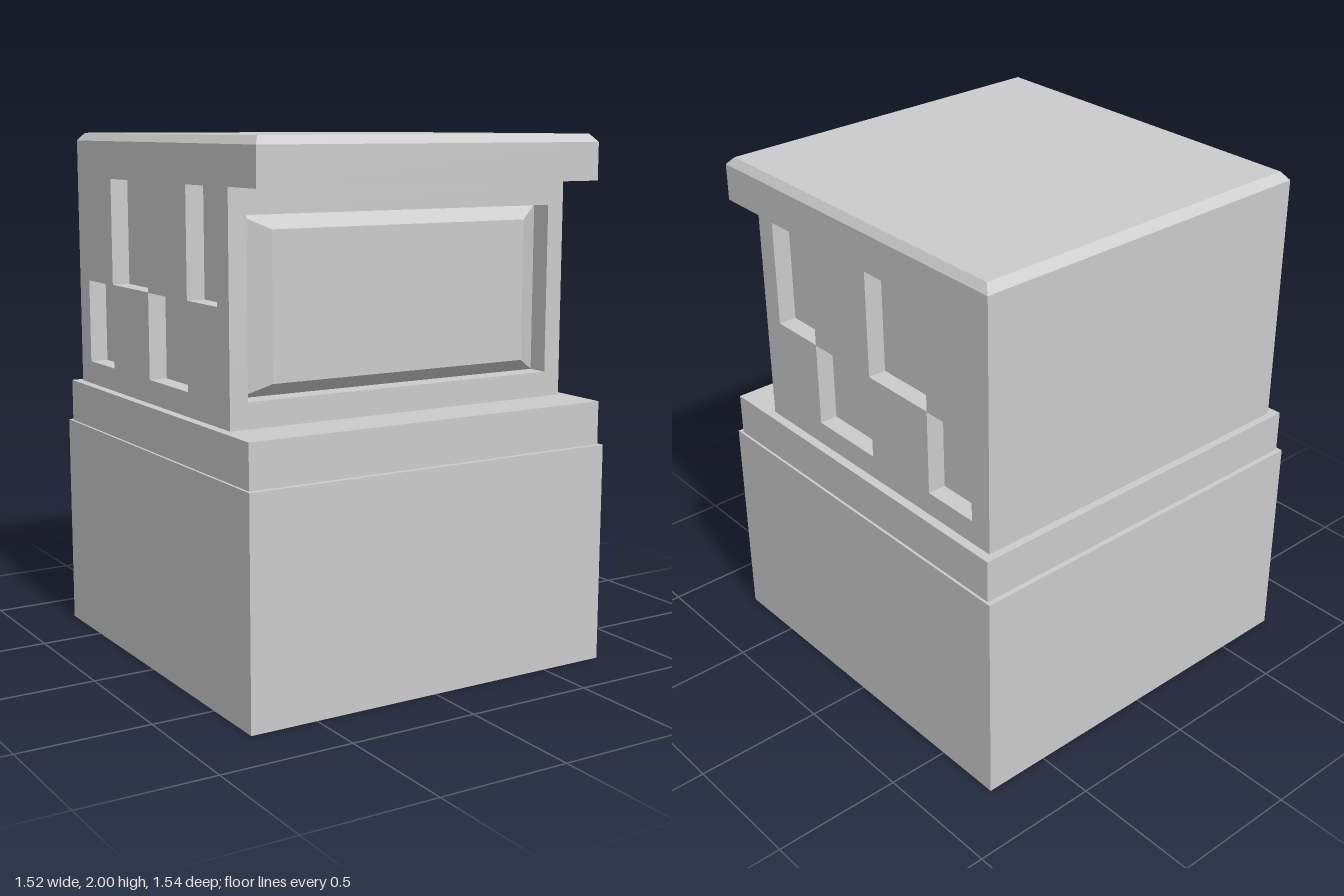
import * as THREE from 'three';

const material = new THREE.MeshStandardMaterial({ color: 0xcccccc, flatShading: true });

const HALF = 0.715;   // half width of the upper body
const RELIEF = 0.07;  // depth of the side recesses
const INNER = HALF - RELIEF;

function add(group, name, geometry, x = 0, y = 0, z = 0) {
  const mesh = new THREE.Mesh(geometry, material);
  mesh.name = name;
  mesh.position.set(x, y, z);
  group.add(mesh);
  return mesh;
}

// Box standing on y = 0 whose top is inset on all four sides
function taperedBox(w, h, d, insetX, insetZ) {
  const g = new THREE.BoxGeometry(w, h, d).translate(0, h / 2, 0);
  const p = g.attributes.position;
  for (let i = 0; i < p.count; i++) {
    if (p.getY(i) < h / 2) continue;
    p.setX(i, p.getX(i) - Math.sign(p.getX(i)) * insetX);
    p.setZ(i, p.getZ(i) - Math.sign(p.getZ(i)) * insetZ);
  }
  g.computeVertexNormals();
  return g;
}

// Extrudes a (z, y) outline along x, centred on x = 0
function extrudeAcross(points, width, holes = []) {
  const shape = new THREE.Shape(points.map(([z, y]) => new THREE.Vector2(z, y)));
  for (const [z0, z1, y0, y1] of holes) {
    const corners = [[z0, y0], [z0, y1], [z1, y1], [z1, y0]];
    shape.holes.push(new THREE.Path(corners.map(([z, y]) => new THREE.Vector2(z, y))));
  }
  return new THREE.ExtrudeGeometry(shape, { depth: width, bevelEnabled: false })
    .translate(0, 0, -width / 2)
    .rotateY(-Math.PI / 2);
}

export function createModel() {
  const group = new THREE.Group();
  group.name = 'steppedBlock';

  // Plinth and the slightly narrower ledge on it
  add(group, 'base', new THREE.BoxGeometry(1.52, 0.84, 1.54), 0, 0.42, 0);
  add(group, 'ledge', new THREE.BoxGeometry(1.5, 0.165, 1.5), 0, 0.9225, 0);

  // Upper body between the side walls, with overhanging roof and front recess
  const back = -0.72, front = 0.555, brow = 0.75, recess = 0.472;
  add(group, 'upperBody', extrudeAcross([
    [back, 1.005], [front, 1.005], [front, 1.1], [recess, 1.1], [recess, 1.735],
    [front, 1.735], [front, 1.83], [brow, 1.83], [brow, 1.97], [back, 1.97],
  ], INNER * 2));

  // Side walls with staggered rectangular recesses
  const windows = [
    [0.24, 0.47, 1.422, 1.828],
    [-0.40, -0.08, 1.422, 1.828],
    [-0.08, 0.24, 1.095, 1.42],
    [-0.63, -0.40, 1.095, 1.42],
  ];
  const wall = extrudeAcross([
    [back, 1.005], [front, 1.005], [front, 1.83], [brow, 1.83], [brow, 1.97], [back, 1.97],
  ], RELIEF, windows);
  for (const side of [1, -1]) {
    add(group, side > 0 ? 'leftWall' : 'rightWall', wall, side * (HALF - RELIEF / 2));
  }

  // Chamfered roof cap
  add(group, 'roofCap', taperedBox(HALF * 2, 0.03, brow - back, 0.022, 0.03), 0, 1.97, (brow + back) / 2);

  // Raised bevelled panel inside the front recess
  const panel = taperedBox(INNER * 2, 0.07, 0.635, 0.105, 0.052).rotateX(Math.PI / 2);
  add(group, 'frontPanel', panel, 0, 1.4175, recess);

  return group;
}
